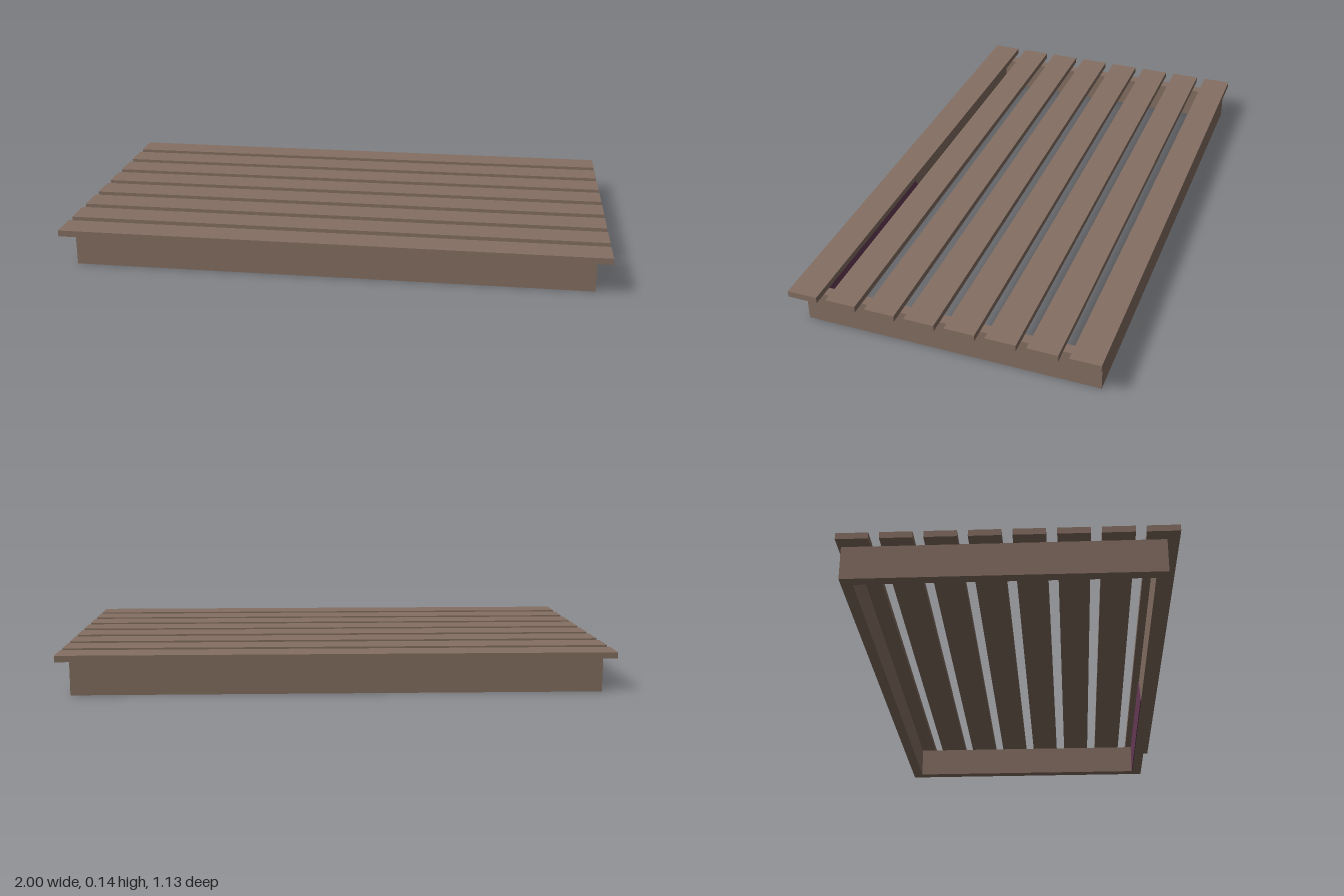
import * as THREE from 'three';

export function createModel() {
  const group = new THREE.Group();
  const wood = new THREE.MeshStandardMaterial({ color: 0x846f62 });
  wood.name = 'weathered wood';
  const purple = new THREE.MeshStandardMaterial({ color: 0x693c58 });
  purple.name = 'purple patch';

  const railHeight = 0.122, slatThickness = 0.023, railThickness = 0.04;
  const front = 0.525, back = -0.555, halfLength = 0.95;

  function box(name, w, h, d, x, y, z) {
    const mesh = new THREE.Mesh(new THREE.BoxGeometry(w, h, d), wood);
    mesh.name = name;
    mesh.position.set(x, y, z);
    group.add(mesh);
  }

  // Top slats, evenly spaced with open gaps
  const slatCount = 8, pitch = 0.146;
  for (let i = 0; i < slatCount; i++) {
    const z = (i - (slatCount - 1) / 2) * pitch;
    box('slat' + (i + 1), 2, slatThickness, 0.11, 0, railHeight + slatThickness / 2, z);
  }

  // Long rails
  box('frontRail', halfLength * 2, railHeight, railThickness, 0, railHeight / 2, front - railThickness / 2);
  box('backRail', halfLength * 2, railHeight, railThickness, 0, railHeight / 2, back + railThickness / 2);

  // End rails fitted between the long rails
  const endDepth = front - back - railThickness * 2;
  for (const side of [-1, 1]) {
    box(side > 0 ? 'leftEndRail' : 'rightEndRail', railThickness, railHeight, endDepth,
      side * (halfLength - railThickness / 2), railHeight / 2, (front + back) / 2);
  }

  // Painted patch with a slanted end on the inside of the front rail
  const outline = new THREE.Shape([
    new THREE.Vector2(0.91, 0),
    new THREE.Vector2(0.91, railHeight),
    new THREE.Vector2(0.165, railHeight),
    new THREE.Vector2(0.08, 0),
  ]);
  const patch = new THREE.Mesh(
    new THREE.ExtrudeGeometry(outline, { depth: 0.003, bevelEnabled: false }), purple);
  patch.name = 'innerPatch';
  patch.position.z = front - railThickness - 0.003;
  group.add(patch);

  return group;
}
